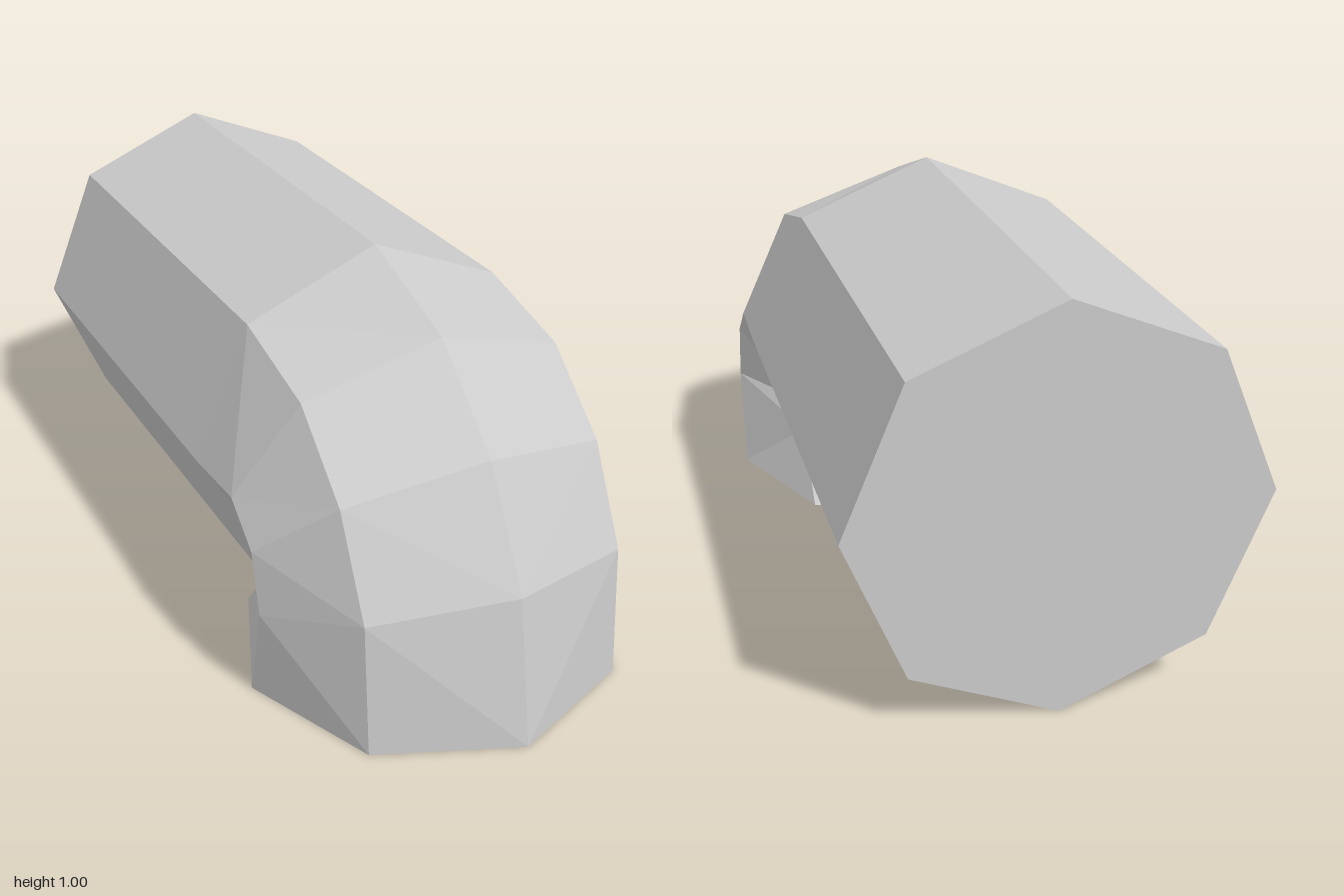
import * as THREE from 'three';

const SIDES = 8;

// Cross-sections along the elbow: centre (y, z) and the offset (dy, dz) to the outer ridge
const SECTIONS = [
  { y: 0.5, z: -1, dy: 0.5, dz: 0 },
  { y: 0.5, z: 0.2, dy: 0.5, dz: 0 },
  { y: 0.515, z: 0.412, dy: 0.373, dz: 0.127 },
  { y: 0.425, z: 0.525, dy: 0.25, dz: 0.25 },
  { y: 0.265, z: 0.562, dy: 0.125, dz: 0.373 },
  { y: 0, z: 0.5, dy: 0, dz: 0.5 },
];

// Point i of an octagonal section, counted round from the outer ridge
function corner(k, i) {
  const s = SECTIONS[k];
  const a = (i % SIDES) * Math.PI * 2 / SIDES;
  return [0.5 * Math.sin(a), s.y + s.dy * Math.cos(a), s.z + s.dz * Math.cos(a)];
}

function pipeGeometry() {
  const positions = [];
  const tri = (...points) => points.forEach((p) => positions.push(...p));
  const last = SECTIONS.length - 1;

  // Walls, with diagonals mirrored left to right
  for (let k = 0; k < last; k++) {
    for (let i = 0; i < SIDES; i++) {
      const a = corner(k, i), b = corner(k + 1, i);
      const c = corner(k + 1, i + 1), d = corner(k, i + 1);
      const leftHalf = i < SIDES / 2;
      const flipped = k === 1 && i !== 0 && i !== SIDES - 1;
      if (leftHalf !== flipped) {
        tri(a, b, d);
        tri(b, c, d);
      } else {
        tri(a, b, c);
        tri(a, c, d);
      }
    }
  }

  // Flat caps at the back and underneath
  for (let i = 1; i < SIDES - 1; i++) {
    tri(corner(0, 0), corner(0, i), corner(0, i + 1));
    tri(corner(last, 0), corner(last, i + 1), corner(last, i));
  }

  const geometry = new THREE.BufferGeometry();
  geometry.setAttribute('position', new THREE.Float32BufferAttribute(positions, 3));
  geometry.computeVertexNormals();
  return geometry;
}

export function createModel() {
  const group = new THREE.Group();
  group.name = 'elbowPipe';
  const material = new THREE.MeshStandardMaterial({ color: 0xcccccc, flatShading: true });
  const pipe = new THREE.Mesh(pipeGeometry(), material);
  pipe.name = 'bentPipe';
  group.add(pipe);
  return group;
}
